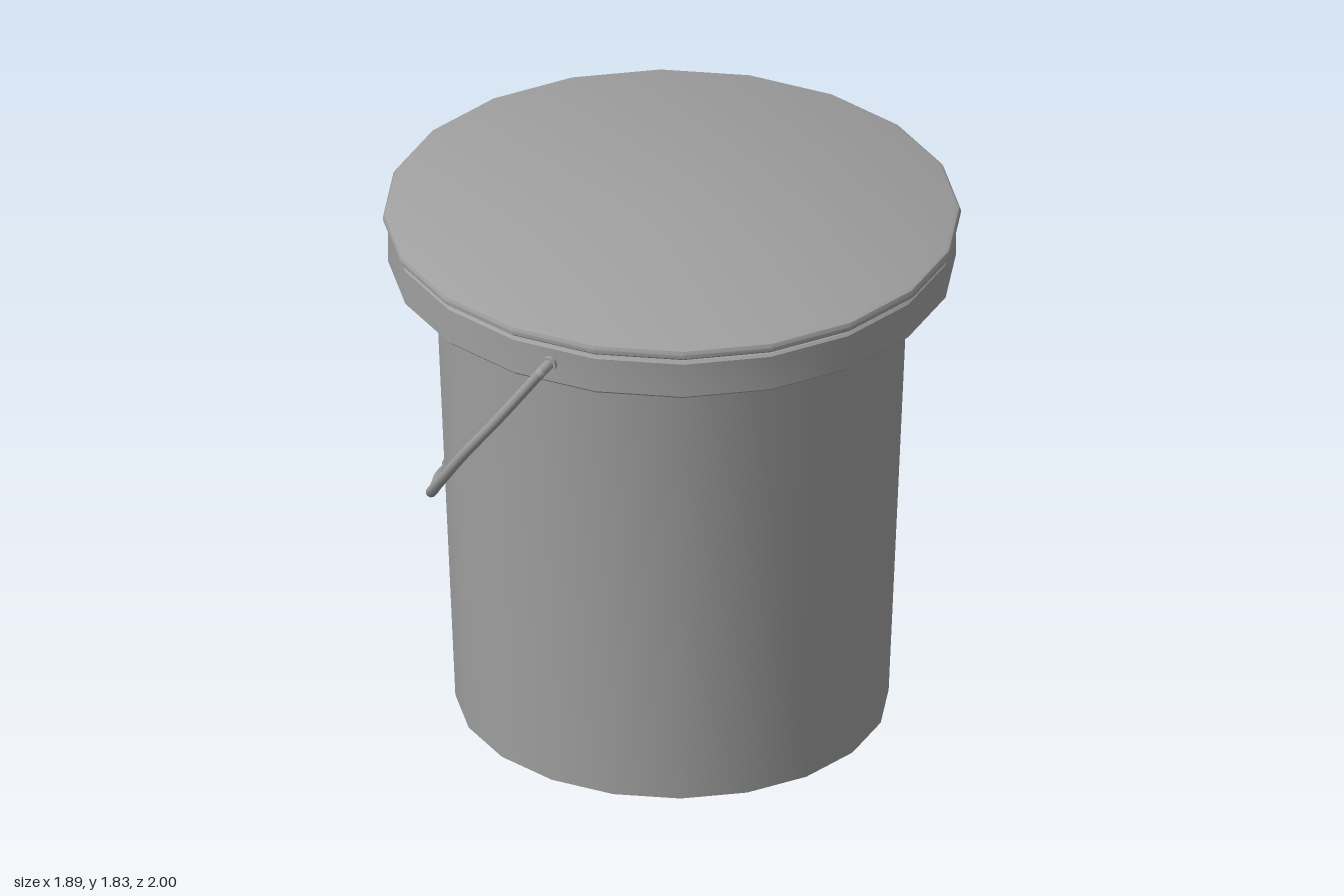
import * as THREE from 'three';
import { toCreasedNormals } from 'three/addons/utils/BufferGeometryUtils.js';

const SIDES = 20;
const TURN = THREE.MathUtils.degToRad(10);
const grey = new THREE.MeshStandardMaterial({ color: 0xa0a0a0 });
grey.name = 'grey plastic';

function add(parent, name, geometry) {
  const mesh = new THREE.Mesh(geometry, grey);
  mesh.name = name;
  parent.add(mesh);
  return mesh;
}

// Solid of revolution with smooth sides and sharp rims; profile runs bottom to top
function turned(profile) {
  const points = profile.map(([r, y]) => new THREE.Vector2(r, y));
  return toCreasedNormals(new THREE.LatheGeometry(points, SIDES, TURN), 0.6);
}

export function createModel() {
  const model = new THREE.Group();
  model.name = 'bucket';

  // Slightly oval container
  const container = new THREE.Group();
  container.name = 'container';
  container.scale.z = 0.98;
  model.add(container);

  add(container, 'body', turned([[0, 0], [0.714, 0], [0.782, 1.65]]));
  add(container, 'rimBand', turned([
    [0.77, 1.635], [0.928, 1.635], [0.936, 1.643], [0.936, 1.765], [0.928, 1.773], [0.9, 1.773],
  ]));
  add(container, 'lid', turned([
    [0.9, 1.765], [0.92, 1.781], [0.938, 1.784], [0.951, 1.794],
    [0.953, 1.808], [0.947, 1.82], [0.935, 1.826], [0, 1.826],
  ]));

  // Thin tab on one facet of the rim
  const tab = add(container, 'rimTab', new THREE.BoxGeometry(0.009, 0.12, 0.24));
  tab.position.set(-0.93, 1.705, 0);

  // Wire handle, hanging to one side
  const handle = new THREE.Group();
  handle.name = 'handle';
  model.add(handle);

  const half = [
    [0, 1.71, 0.982], [-0.16, 1.49, 0.955], [-0.32, 1.28, 0.9], [-0.435, 1.12, 0.82],
    [-0.53, 0.99, 0.71], [-0.62, 0.875, 0.5], [-0.69, 0.81, 0.32], [-0.745, 0.74, 0.13],
  ];
  const path = [
    ...half,
    [-0.75, 0.727, 0],
    ...half.slice().reverse().map(([x, y, z]) => [x, y, -z]),
  ].map((p) => new THREE.Vector3(...p));
  add(handle, 'handleWire', new THREE.TubeGeometry(new THREE.CatmullRomCurve3(path), 90, 0.018, 10));

  const grip = add(handle, 'handleGrip', new THREE.CylinderGeometry(0.03, 0.03, 0.25, 14));
  grip.rotation.x = Math.PI / 2;
  grip.position.set(-0.75, 0.729, 0);

  // Pivot pins with rounded elbows
  for (const side of [1, -1]) {
    const pin = add(handle, 'handlePin', new THREE.CylinderGeometry(0.018, 0.018, 0.1, 10));
    pin.rotation.x = Math.PI / 2;
    pin.position.set(0, 1.71, side * 0.932);
    const elbow = add(handle, 'handleElbow', new THREE.SphereGeometry(0.018, 10, 8));
    elbow.position.set(0, 1.71, side * 0.982);
    const collar = add(handle, 'pinCollar', new THREE.CylinderGeometry(0.026, 0.026, 0.02, 12));
    collar.rotation.x = Math.PI / 2;
    collar.position.set(0, 1.71, side * 0.91);
  }

  return model;
}
